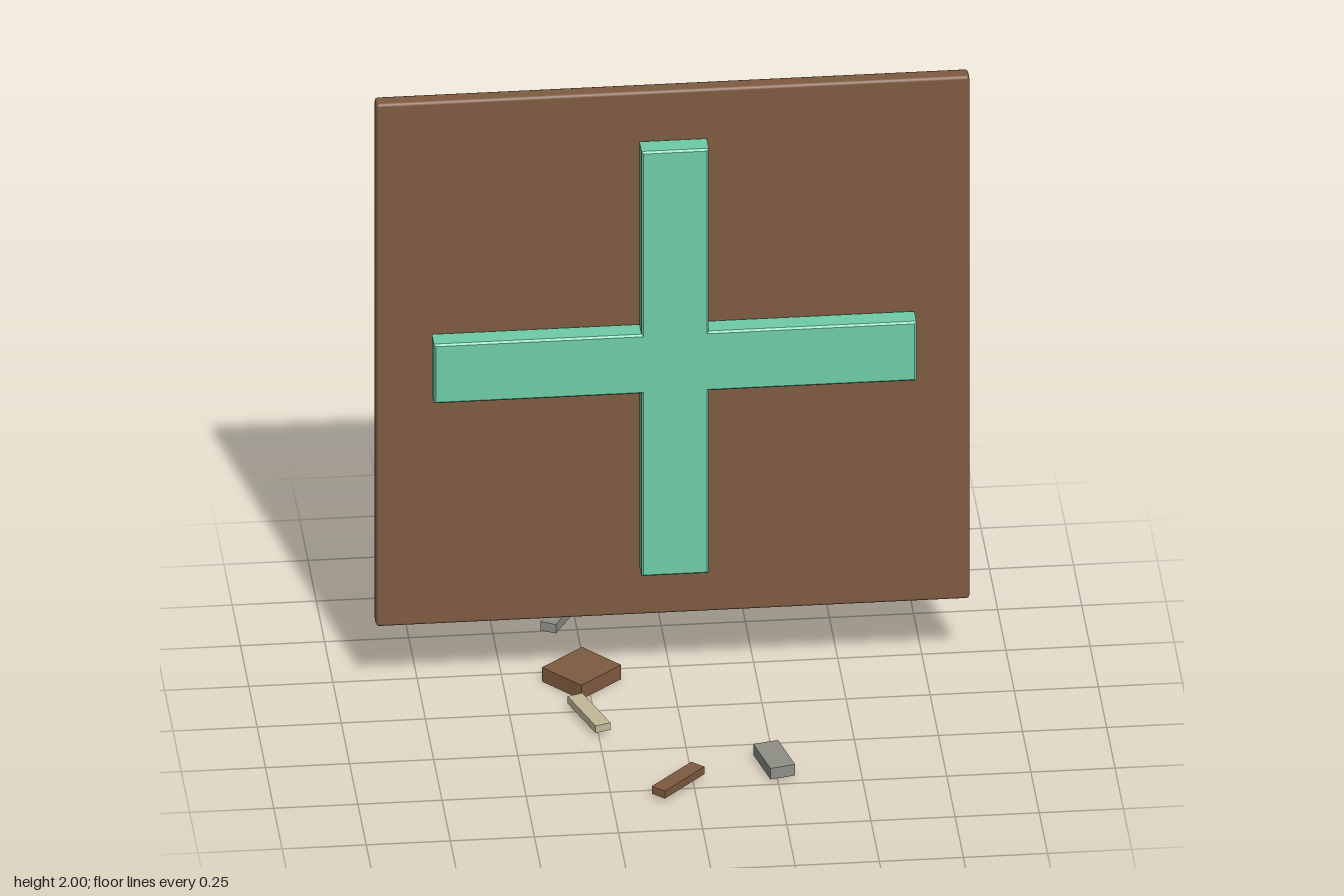
import * as THREE from 'three';
import { RoundedBoxGeometry } from 'three/addons/geometries/RoundedBoxGeometry.js';

const paint = (name, color) => {
  const m = new THREE.MeshStandardMaterial({ color });
  m.name = name;
  return m;
};

export function createModel() {
  const brown = paint('brown', 0x7f5b41);
  const mint = paint('mint green', 0x6fcda6);
  const black = paint('black', 0x211f21);
  const grey = paint('grey', 0x8f8f87);
  const cream = paint('cream', 0xc2b89a);

  const model = new THREE.Group();
  model.name = 'crossPanel';
  const add = (name, geometry, material, x, y, z) => {
    const mesh = new THREE.Mesh(geometry, material);
    mesh.name = name;
    mesh.position.set(x, y, z);
    model.add(mesh);
    return mesh;
  };

  // Square backing panel with softened edges
  add('panel', new RoundedBoxGeometry(1.764, 1.764, 0.053, 1, 0.009), brown, 0, 1.118, -0.1735);

  // Raised cross with a small bevel
  const b = 0.006, w = 0.1 - b, l = 0.717 - b;
  const outline = [
    [-w, -l], [w, -l], [w, -w], [l, -w], [l, w], [w, w],
    [w, l], [-w, l], [-w, w], [-l, w], [-l, -w], [-w, -w],
  ].map(([x, y]) => new THREE.Vector2(x, y));
  const crossGeometry = new THREE.ExtrudeGeometry(new THREE.Shape(outline), {
    depth: 0.072 - 2 * b, bevelThickness: b, bevelSize: b, bevelSegments: 1,
  });
  add('cross', crossGeometry, mint, 0, 1.12, -0.147 + b);

  // Thin rods leaning out from the back
  const rods = [
    [[-0.6, 0.42, -0.282], [0.165, 0.53, -0.21]],
    [[0.525, 1.15, -0.282], [-0.49, 1.395, -0.21]],
    [[-0.475, 1.505, -0.282], [-0.565, 0.78, -0.21]],
    [[0.32, 1.435, -0.282], [-0.015, 0.905, -0.21]],
  ];
  const up = new THREE.Vector3(0, 1, 0);
  for (const [p, q] of rods) {
    const from = new THREE.Vector3(...p), span = new THREE.Vector3(...q).sub(from);
    const length = span.length();
    const mid = from.addScaledVector(span, 0.5);
    const rod = add('backRod', new THREE.BoxGeometry(0.017, length, 0.017), black, mid.x, mid.y, mid.z);
    rod.quaternion.setFromUnitVectors(up, span.normalize());
  }

  // Loose chips scattered below: material, width, height, length, x, y, z, turn
  const chips = [
    [brown, 0.16, 0.048, 0.172, -0.267, 0.024, -0.19, -0.855],
    [brown, 0.049, 0.025, 0.19, -0.048, 0.027, 0.495, -0.76],
    [cream, 0.048, 0.024, 0.2, -0.27, 0.028, 0.062, 0.33],
    [grey, 0.077, 0.037, 0.158, 0.247, 0.029, 0.402, 0.228],
    [grey, 0.049, 0.03, 0.12, -0.31, 0.029, -0.522, -0.5],
  ];
  for (const [material, cw, ch, cl, x, y, z, turn] of chips) {
    add('chip', new THREE.BoxGeometry(cw, ch, cl), material, x, y, z).rotation.y = turn;
  }

  return model;
}
